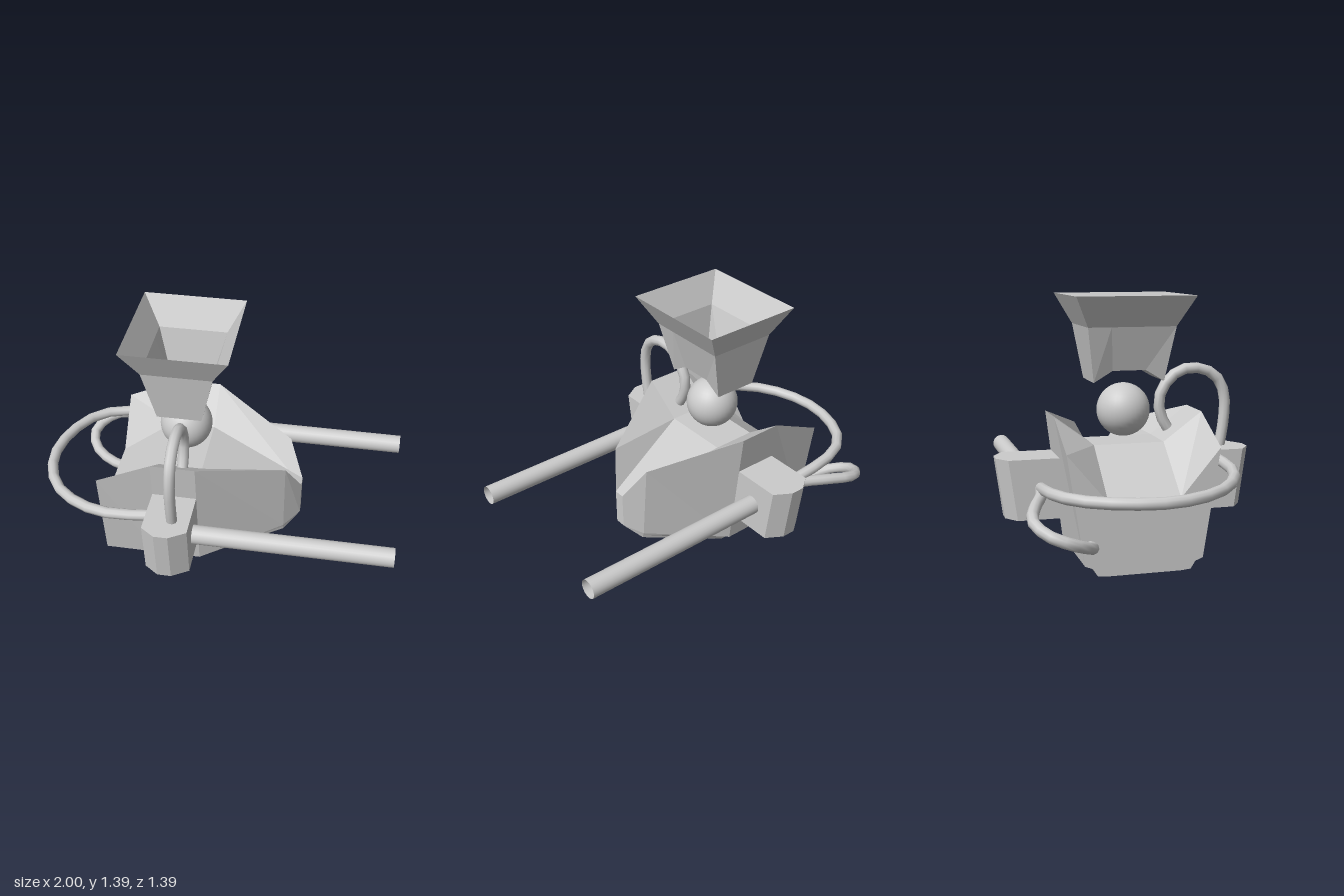
import * as THREE from 'three';

const flat = new THREE.MeshStandardMaterial({ color: 0xcccccc, flatShading: true });
const smooth = new THREE.MeshStandardMaterial({ color: 0xcccccc });
const open = new THREE.MeshStandardMaterial({ color: 0xcccccc, side: THREE.DoubleSide });
const openFlat = new THREE.MeshStandardMaterial({ color: 0xcccccc, flatShading: true, side: THREE.DoubleSide });

const v = (x, y, z) => new THREE.Vector3(x, y, z);

// Collects polygons (corners counter-clockwise) into a faceted geometry
function facets(polygons) {
  const points = [];
  for (const p of polygons) {
    for (let i = 1; i < p.length - 1; i++) points.push(p[0], p[i], p[i + 1]);
  }
  const geometry = new THREE.BufferGeometry().setFromPoints(points);
  geometry.computeVertexNormals();
  return geometry;
}

// Quads joining successive closed loops of equal length
function loft(loops) {
  const quads = [];
  for (let i = 0; i < loops.length - 1; i++) {
    const a = loops[i], b = loops[i + 1], n = a.length;
    for (let j = 0; j < n; j++) {
      const k = (j + 1) % n;
      quads.push([a[j], a[k], b[k], b[j]]);
    }
  }
  return quads;
}

// Hull: mirrored cross-sections with a sunken deck, raised rims and chined bottom
function hullGeometry() {
  const chine = [[0.31, 0.06], [0.27, 0.045], [0.245, 0.005], [0.19, 0]];
  const sections = [
    [-0.61, [[0.19, 0.38], [0.4, 0.63], ...chine]],
    [-0.31, [[0.19, 0.615], [0.4, 0.77], ...chine]],
    [-0.07, [[0.19, 0.615], [0.4, 0.77], ...chine]],
    [0.38, [[0.055, 0.468], [0.14, 0.625], [0.1, 0.185], [0.095, 0.17], [0.09, 0.15], [0.055, 0.2]]],
    [0.465, [[0.03, 0.44], [0.03, 0.44], [0.03, 0.24], [0.03, 0.24], [0.03, 0.24], [0.03, 0.24]]],
  ];
  const loops = sections.map(([x, half]) => [
    ...half.map(([z, y]) => v(x, y, z)),
    ...half.slice().reverse().map(([z, y]) => v(x, y, -z)),
  ]);
  // Each end: a fan on both halves and a quad between them
  const cap = (s) => {
    const last = s.length - 1;
    const half = s.length / 2;
    const faces = [[s[0], s[half - 1], s[half], s[last]]];
    for (let j = 1; j < half - 1; j++) {
      faces.push([s[0], s[j], s[j + 1]], [s[last], s[last - j - 1], s[last - j]]);
    }
    return faces;
  };
  const rear = cap(loops[0]).map((f) => f.reverse());
  return facets([...loft(loops), ...rear, ...cap(loops[loops.length - 1])]);
}

// Hopper: flared square funnel whose floor is raised along the middle
function hopperGeometry() {
  const rings = [[0.94, 0.12, 0.19, 0.06], [1.23, 0.1875, 0.235, 0], [1.39, 0.28, 0.315, 0]];
  const loops = rings.map(([y, hx, hz, lift]) => {
    const side = [[1, 0], [0.47, lift], [-0.47, lift], [-1, 0]];
    return [
      ...side.map(([t, up]) => v(-0.19 + hx, y + up, t * hz)),
      ...side.slice().reverse().map(([t, up]) => v(-0.19 - hx, y + up, t * hz)),
    ];
  });
  const b = loops[0];
  const floor = [0, 1, 2].map((j) => [b[j], b[7 - j], b[6 - j], b[j + 1]]);
  return facets([...loft(loops), ...floor]);
}

// Side pod: bevelled outline, leaning outward towards its top
function podGeometry(side) {
  const outline = [[-0.31, 0.28], [-0.07, 0.28], [-0.07, 0.595], [-0.16, 0.65], [-0.235, 0.65], [-0.31, 0.595]];
  const ring = (y, lean) => outline.map(([x, z]) => v(x, y, side * (z + lean)));
  const low = ring(0.235, 0), high = ring(0.555, 0.045);
  const faces = [...loft([high, low]), high.slice().reverse(), low];
  // Reverse the corners where the side's handedness calls for it
  return facets(side > 0 ? faces : faces.map((f) => f.slice().reverse()));
}

function hoseGeometry(points) {
  const curve = new THREE.CatmullRomCurve3(points.map((p) => v(...p)));
  return new THREE.TubeGeometry(curve, 16, 0.03, 10);
}

export function createModel() {
  const model = new THREE.Group();
  const add = (name, geometry, material) => {
    const mesh = new THREE.Mesh(geometry, material);
    mesh.name = name;
    model.add(mesh);
    return mesh;
  };

  add('hull', hullGeometry(), flat);
  add('hopper', hopperGeometry(), openFlat);
  add('ball', new THREE.SphereGeometry(0.143, 32, 20), smooth).position.set(-0.19, 0.78, 0);

  // Pods with hollow barrels
  for (const side of [1, -1]) {
    const label = side > 0 ? 'front' : 'back';
    add(label + 'Pod', podGeometry(side), openFlat);
    const barrel = add(label + 'Barrel', new THREE.CylinderGeometry(0.052, 0.052, 1.07, 24, 1, true), open);
    barrel.rotation.z = -Math.PI / 2;
    barrel.position.set(0.465, 0.4, side * 0.483);
  }

  // Hose looping from the front pod's top into the hull
  add('loopHose', hoseGeometry([
    [-0.165, 0.53, 0.555], [-0.165, 0.68, 0.58], [-0.165, 0.82, 0.585], [-0.165, 0.92, 0.55],
    [-0.165, 0.98, 0.46], [-0.165, 0.98, 0.34], [-0.165, 0.92, 0.255], [-0.165, 0.82, 0.208],
    [-0.165, 0.72, 0.225], [-0.165, 0.6, 0.3],
  ]), open);

  // Hose running round the rear from pod to pod
  add('linkHose', hoseGeometry([
    [-0.29, 0.51, 0.49], [-0.52, 0.495, 0.495], [-0.71, 0.48, 0.43], [-0.88, 0.465, 0.28],
    [-0.97, 0.455, 0.04], [-0.94, 0.455, -0.2], [-0.82, 0.455, -0.4], [-0.65, 0.45, -0.48],
    [-0.47, 0.43, -0.485], [-0.29, 0.4, -0.47],
  ]), open);

  // Hose curling from the back pod into the hull's rear
  add('rearHose', hoseGeometry([
    [-0.29, 0.4, -0.47], [-0.43, 0.39, -0.495], [-0.6, 0.37, -0.56], [-0.74, 0.34, -0.59],
    [-0.84, 0.3, -0.54], [-0.875, 0.265, -0.45], [-0.82, 0.22, -0.345], [-0.7, 0.18, -0.29],
    [-0.58, 0.155, -0.28],
  ]), open);

  return model;
}
